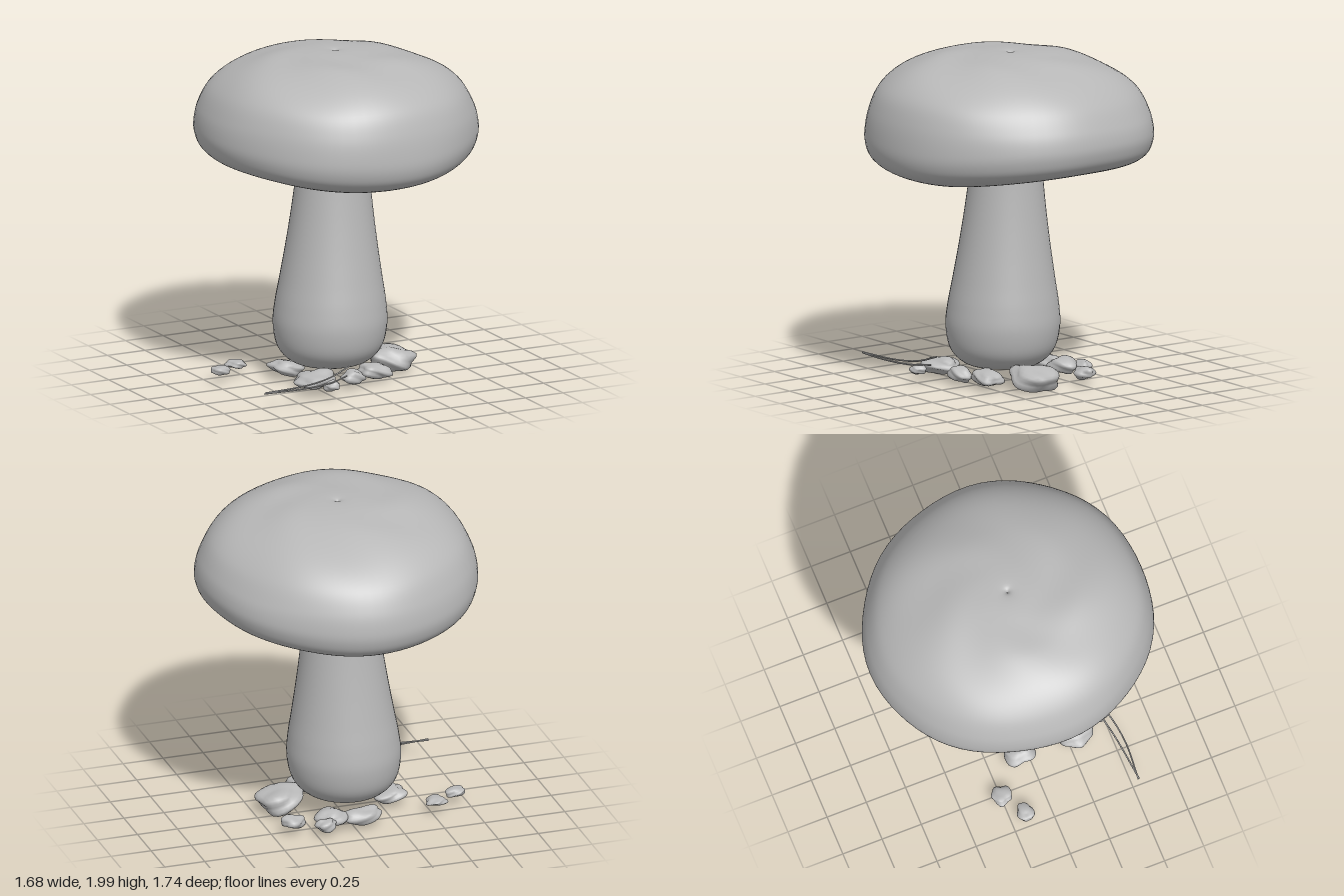
import * as THREE from 'three';
import { mergeVertices } from 'three/addons/utils/BufferGeometryUtils.js';

// Move every vertex by a rule, weld seams and smooth the normals
function reshape(geometry, rule) {
  geometry.deleteAttribute('uv');
  geometry.deleteAttribute('normal');
  const g = mergeVertices(geometry, 1e-4);
  const p = g.attributes.position, v = new THREE.Vector3();
  for (let i = 0; i < p.count; i++) {
    rule(v.fromBufferAttribute(p, i));
    p.setXYZ(i, v.x, v.y, v.z);
  }
  g.computeVertexNormals();
  return g;
}

// Smooth profile through a few points, revolved around y
function turned(points, divisions, segments) {
  const pts = new THREE.SplineCurve(points.map(([x, y]) => new THREE.Vector2(x, y))).getPoints(divisions);
  pts.forEach(p => { p.x = Math.max(0, p.x); });
  return new THREE.LatheGeometry(pts, segments);
}

export function createModel() {
  const group = new THREE.Group();
  const grey = new THREE.MeshStandardMaterial({ color: 0xb8b8b8 });
  grey.name = 'stone grey';
  const add = (name, geometry) => {
    const mesh = new THREE.Mesh(geometry, grey);
    mesh.name = name;
    group.add(mesh);
    return mesh;
  };

  // Cap: domed top, hollow underside, slightly saddle-shaped rim
  const cap = turned([
    [0, 1.43], [0.2, 1.4], [0.3, 1.34], [0.45, 1.295], [0.6, 1.305], [0.74, 1.345], [0.81, 1.39],
    [0.842, 1.45], [0.85, 1.53], [0.825, 1.65], [0.755, 1.78], [0.62, 1.885], [0.42, 1.96],
    [0.2, 1.992], [0.04, 1.998], [0, 1.97],
  ], 96, 72);
  add('cap', reshape(cap, v => {
    const r = Math.hypot(v.x, v.z), a = Math.atan2(v.z, v.x);
    const upper = THREE.MathUtils.smoothstep(v.y, 1.45, 1.75);
    const edge = THREE.MathUtils.smoothstep(r, 0.15, 0.45);
    v.y += edge * (1 - upper) * 0.032 * Math.cos(2 * a);
    v.y += upper * (0.035 * v.z - 0.02 * v.x) * edge;
    v.y += upper * edge * 0.006 * Math.sin(5 * a + 9 * r);
    const k = 1 + 0.007 * Math.sin(3 * a + 0.6) + 0.005 * Math.sin(7 * a + 4 * v.y);
    v.x *= 0.985 * k;
    v.z *= 1.02 * k;
  }));

  // Stem: swollen rounded foot, leaning slightly
  const stem = turned([
    [0, 0.085], [0.16, 0.095], [0.25, 0.13], [0.315, 0.21], [0.34, 0.34], [0.33, 0.47],
    [0.305, 0.62], [0.273, 0.82], [0.245, 1.02], [0.222, 1.22], [0.215, 1.34], [0.23, 1.43],
  ], 60, 48);
  add('stem', reshape(stem, v => {
    v.x -= 0.055 - 0.025 * v.y;
    v.z += 0.025 - 0.008 * v.y;
  }));

  // Loose stones around the foot: x, y, z, half sizes in x, y, z
  const stones = [
    [-0.29, 0.085, 0.3, 0.125, 0.05, 0.11], [-0.27, 0.08, 0.48, 0.05, 0.03, 0.05],
    [-0.05, 0.07, 0.33, 0.075, 0.045, 0.06], [0.13, 0.075, 0.26, 0.1, 0.045, 0.09],
    [0.33, 0.085, 0.07, 0.14, 0.075, 0.14], [0.2, 0.08, -0.38, 0.06, 0.04, 0.05],
    [0.37, 0.08, -0.27, 0.07, 0.04, 0.06], [0.13, 0.08, -0.29, 0.1, 0.05, 0.08],
    [-0.53, 0.075, -0.25, 0.06, 0.025, 0.06], [-0.68, 0.075, -0.16, 0.06, 0.027, 0.05],
    [-0.3, 0.075, -0.05, 0.1, 0.045, 0.1], [-0.05, 0.075, -0.3, 0.12, 0.05, 0.07],
  ];
  stones.forEach(([x, y, z, sx, sy, sz], i) => {
    const stone = reshape(new THREE.IcosahedronGeometry(1, 4), v => {
      const bump = 1 + 0.1 * Math.sin(3.1 * v.x + i * 1.7) * Math.cos(3.7 * v.z - i)
        + 0.08 * Math.sin(5.3 * v.y + 4.1 * v.x + i * 2.3) + 0.06 * Math.cos(6 * v.z + i);
      v.multiplyScalar(bump);
      v.set(v.x * sx, v.y * sy + 0.15 * sy * Math.sin(2 * v.x + i), v.z * sz);
    });
    add('stone' + (i + 1), stone).position.set(x, y, z);
  });

  // Two dry pine needles joined at the tip
  const needles = [
    [[-0.75, 0.11, 0.54], [-0.45, 0.112, 0.505], [-0.28, 0.13, 0.47], [-0.13, 0.178, 0.44]],
    [[-0.75, 0.105, 0.535], [-0.5, 0.108, 0.55], [-0.3, 0.112, 0.52], [-0.16, 0.125, 0.46]],
  ];
  needles.forEach((points, i) => {
    const curve = new THREE.CatmullRomCurve3(points.map(p => new THREE.Vector3(...p)));
    add('needle' + (i + 1), new THREE.TubeGeometry(curve, 24, 0.005, 6));
  });

  return group;
}
